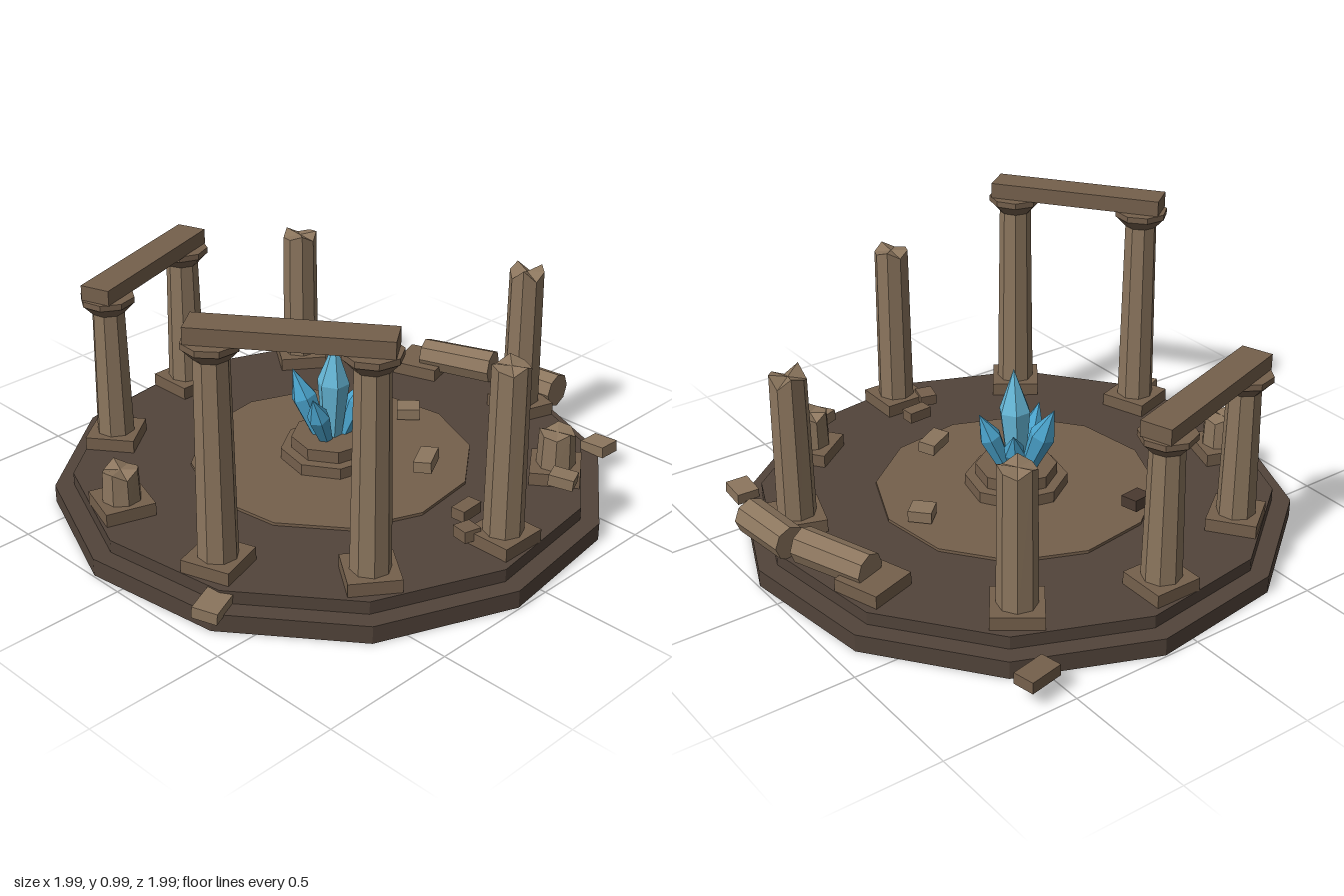
import * as THREE from 'three';

const mat = (color) => new THREE.MeshStandardMaterial({ color, flatShading: true });
const EARTH = mat(0x52443a), STONE = mat(0x75604c), PALE = mat(0x8c765e), DARK = mat(0x4a3a30);
const CRYSTAL = mat(0x4aa3cc), CRYSTAL_PALE = mat(0x66b8d8);

function add(parent, name, geometry, material, x = 0, y = 0, z = 0, ry = 0) {
  const mesh = new THREE.Mesh(geometry, material);
  mesh.name = name;
  mesh.position.set(x, y, z);
  mesh.rotation.y = ry;
  parent.add(mesh);
  return mesh;
}

// Prism standing on y0
function tier(parent, name, r0, r1, sides, y0, y1, material, ry) {
  return add(parent, name, new THREE.CylinderGeometry(r1, r0, y1 - y0, sides), material, 0, (y0 + y1) / 2, 0, ry);
}

// Octagonal shaft whose upper rim is moved up and down to look snapped off
function brokenShaft(height, seed, rough = 0.03) {
  const geo = new THREE.CylinderGeometry(0.065, 0.07, height, 8);
  const pos = geo.attributes.position;
  for (let i = 0; i < pos.count; i++) {
    if (pos.getY(i) < 0) continue;
    const x = pos.getX(i), z = pos.getZ(i);
    const corner = (Math.round(Math.atan2(x, z) / (Math.PI / 4)) + 8) % 8;
    const drop = Math.hypot(x, z) < 0.01 ? 0.5 : 0.5 + 0.5 * Math.sin(corner * 2.3 + seed);
    pos.setY(i, height / 2 - rough * drop);
  }
  geo.computeVertexNormals();
  return geo;
}

// Crystal from base to tip: narrow foot, wide shoulder, pointed end
function crystal(parent, name, base, tip, radius, material) {
  const from = new THREE.Vector3(...base), dir = new THREE.Vector3(...tip).sub(from);
  const len = dir.length();
  const profile = [[0, 0], [0.6, 0], [1, 0.58], [0, 1]].map(([r, h]) => new THREE.Vector2(r * radius, h * len));
  const mesh = add(parent, name, new THREE.LatheGeometry(profile, 6), material, ...base);
  mesh.quaternion.setFromUnitVectors(new THREE.Vector3(0, 1, 0), dir.normalize());
}

export function createModel() {
  const model = new THREE.Group();
  model.name = 'ruinedStoneCircle';

  // Stepped platform and crystal pedestal
  const turn = -0.131;
  tier(model, 'platformBase', 1.003, 1.003, 12, 0, 0.065, EARTH, turn);
  tier(model, 'platformStep', 0.935, 0.935, 12, 0.065, 0.112, EARTH, turn);
  tier(model, 'innerFloor', 0.513, 0.513, 12, 0.11, 0.123, STONE, turn);
  tier(model, 'pedestalLower', 0.187, 0.187, 8, 0.12, 0.165, STONE, 0.17);
  tier(model, 'pedestalUpper', 0.148, 0.148, 8, 0.165, 0.21, STONE, 0.17);

  // Crystal cluster
  const cluster = new THREE.Group();
  cluster.name = 'crystalCluster';
  model.add(cluster);
  crystal(cluster, 'mainCrystal', [0, 0.2, 0], [0.015, 0.585, 0], 0.06, CRYSTAL_PALE);
  [
    [-0.125, 0.455, 0.075, 0.048],
    [0.035, 0.405, 0.13, 0.042],
    [0.06, 0.42, -0.12, 0.042],
    [-0.1, 0.39, -0.085, 0.04],
  ].forEach(([x, y, z, r]) =>
    crystal(cluster, 'sideCrystal', [x * 0.3, 0.2, z * 0.3], [x, y, z], r, CRYSTAL));

  // Ten column places, 36 degrees apart; whole columns carry capitals
  const columns = [
    { top: 0.785 },
    { top: 0.935, whole: true },
    { top: 0.935, whole: true },
    { top: 0.285 },
    { top: 0.7, whole: true },
    { top: 0.7, whole: true },
    { top: 0.675 },
    {},
    { top: 0.715, rough: 0.05 },
    { top: 0.3 },
  ];
  const spot = (i) => {
    const a = (i * Math.PI) / 5;
    return new THREE.Vector3(0.81 * Math.cos(a), 0, 0.81 * Math.sin(a));
  };
  columns.forEach(({ top, whole, rough }, i) => {
    const column = new THREE.Group();
    column.name = whole ? 'column' : 'brokenColumn';
    column.position.copy(spot(i));
    column.rotation.y = (-i * Math.PI) / 5;
    model.add(column);
    add(column, 'plinth', new THREE.BoxGeometry(0.18, 0.05, 0.18), STONE, 0, 0.135, 0);
    if (!top) return;
    if (whole) {
      tier(column, 'shaft', 0.07, 0.06, 8, 0.16, top - 0.055, PALE, 0);
      tier(column, 'capitalFlare', 0.062, 0.097, 8, top - 0.06, top - 0.022, STONE, 0);
      tier(column, 'capitalSlab', 0.099, 0.099, 8, top - 0.022, top, STONE, 0);
    } else {
      add(column, 'brokenShaft', brokenShaft(top - 0.16, i * 1.7, rough), PALE, 0, (top + 0.16) / 2, 0);
    }
  });

  // Lintels bridging neighbouring whole columns
  for (const [a, b, y] of [[1, 2, 0.965], [4, 5, 0.727]]) {
    const p = spot(a), q = spot(b), mid = p.clone().add(q).multiplyScalar(0.5);
    add(model, 'lintel', new THREE.BoxGeometry(0.655, 0.058, 0.115), STONE,
      mid.x, y, mid.z, -Math.atan2(q.z - p.z, q.x - p.x));
  }

  // Fallen column drums
  for (const [x, y, z, len, ry] of [[-0.11, 0.178, -0.825, 0.29, 0.345], [0.195, 0.165, -0.905, 0.245, 0.09]]) {
    const geo = new THREE.CylinderGeometry(0.063, 0.066, len, 8).rotateZ(Math.PI / 2);
    add(model, 'fallenDrum', geo, PALE, x, y, z, ry);
  }

  // Scattered rubble: x, y, z, width, depth, turn, material
  [
    [-0.915, 0.083, -0.59, 0.08, 0.13, 0.2, STONE],
    [0.61, 0.083, -0.8, 0.1, 0.085, -0.03, PALE],
    [0.375, 0.083, 0.91, 0.09, 0.12, 0.42, PALE],
    [0.0, 0.15, -0.41, 0.085, 0.08, 0.75, PALE],
    [0.345, 0.185, -0.13, 0.065, 0.12, 0.5, PALE],
    [-0.43, 0.188, 0.21, 0.07, 0.08, 0.12, DARK],
    [0.63, 0.15, -0.02, 0.055, 0.095, 0.06, STONE],
    [0.725, 0.15, 0.085, 0.07, 0.065, -0.25, STONE],
    [0.77, 0.185, -0.37, 0.09, 0.07, 0.4, PALE],
  ].forEach(([x, y, z, w, d, ry, m], i) => {
    const block = add(model, 'rubbleBlock', new THREE.BoxGeometry(w, 0.042, d), m, x, y, z, ry);
    block.rotation.z = 0.1 * Math.sin(i * 2.1);
  });

  return model;
}
